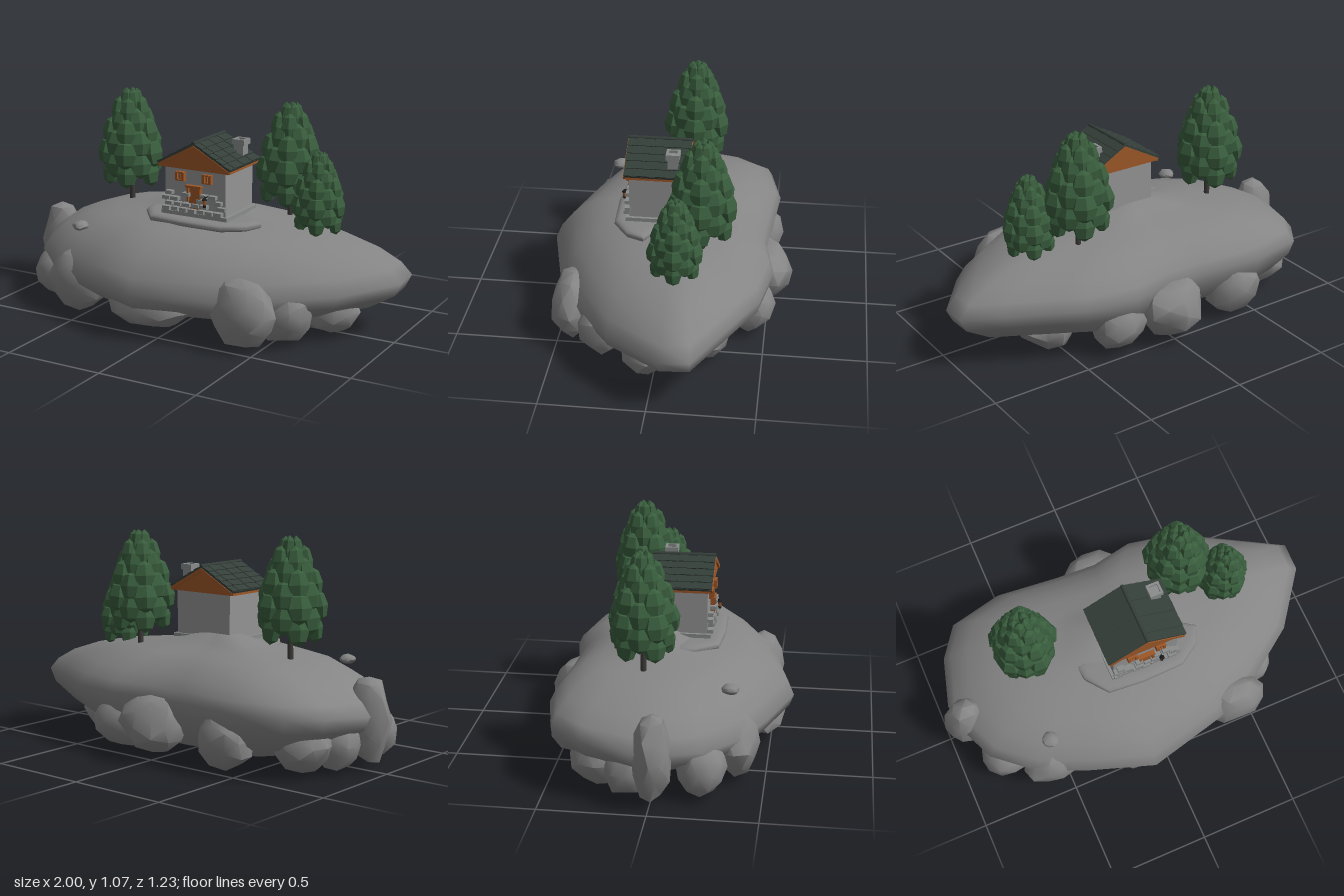
import * as THREE from 'three';
import { mergeVertices, toCreasedNormals, mergeGeometries } from 'three/addons/utils/BufferGeometryUtils.js';

export function createModel() {
  const root = new THREE.Group();
  root.name = 'cottageIsland';
  const mat = (name, color, flatShading = false) => {
    const m = new THREE.MeshStandardMaterial({ color, flatShading });
    m.name = name;
    return m;
  };
  const stone = mat('rock grey', 0x858585);
  const plaster = mat('wall grey', 0x949494);
  const masonry = mat('masonry grey', 0x8a8c8c);
  const tile = mat('roof slate', 0x353f3a);
  const wood = mat('orange wood', 0x9c5728);
  const foliage = mat('leaf green', 0x395d3d, true);
  const bark = mat('dark bark', 0x3c3a38);
  const iron = mat('black iron', 0x1c1c1e);

  const add = (parent, name, geo, material, x = 0, y = 0, z = 0) => {
    const m = new THREE.Mesh(geo, material);
    m.name = name;
    m.position.set(x, y, z);
    parent.add(m);
    return m;
  };
  const box = (parent, name, material, w, h, d, x, y, z) =>
    add(parent, name, new THREE.BoxGeometry(w, h, d), material, x, y, z);
  let seed = 7;
  const rnd = () => (seed = (seed * 16807) % 2147483647) / 2147483647;

  // Island body: the outline is scaled through rings from an off-centre crown to rim to base
  const outline = [
    [1, -0.2], [1, -0.06], [0.8, 0.21], [0.56, 0.38], [0.3, 0.51], [-0.1, 0.607], [-0.42, 0.5],
    [-0.66, 0.4], [-0.85, 0.24], [-0.92, 0.08], [-0.95, -0.08], [-0.88, -0.32], [-0.77, -0.47],
    [-0.5, -0.53], [-0.18, -0.5], [0.03, -0.49], [0.24, -0.53], [0.5, -0.48], [0.62, -0.41], [0.82, -0.3]];
  const rings = [
    [0, 0.575], [0.12, 0.565], [0.25, 0.532], [0.38, 0.508], [0.54, 0.488], [0.7, 0.455], [0.85, 0.393],
    [0.95, 0.32], [1, 0.25], [0.97, 0.19], [0.85, 0.125], [0.6, 0.06], [0.3, 0.012], [0, 0.003]];
  const pos = [], idx = [], n = outline.length;
  rings.forEach(([t, y], r) => outline.forEach(([x, z], j) => {
    const rimLift = (0.02 - 0.07 * z) * t ** 8;
    pos.push(x * t - 0.07 * (1 - t), y + rimLift, z * t - 0.05 * (1 - t));
    if (r === rings.length - 1) return;
    const a = r * n + j, b = r * n + (j + 1) % n;
    idx.push(a, b, a + n, b, b + n, a + n);
  }));
  const island = new THREE.BufferGeometry();
  island.setAttribute('position', new THREE.Float32BufferAttribute(pos, 3));
  island.setIndex(idx);
  island.computeVertexNormals();
  add(root, 'islandBody', island, stone);

  // Irregular boulders around the underside of the rim
  const boulder = (name, x, y, z, rx, ry, rz) => {
    let g = new THREE.IcosahedronGeometry(1, 1);
    g.deleteAttribute('normal');
    g.deleteAttribute('uv');
    g = mergeVertices(g, 1e-3);
    const p = g.attributes.position;
    for (let i = 0; i < p.count; i++) {
      const k = 0.82 + 0.18 * rnd();
      p.setXYZ(i, p.getX(i) * k * rx, p.getY(i) * k * ry, p.getZ(i) * k * rz);
    }
    add(root, name, toCreasedNormals(g, 0.75), stone, x, y, z);
  };
  [
    [-0.89, 0.24, 0.01, 0.12, 0.23, 0.1], [-0.76, 0.15, 0.22, 0.15, 0.15, 0.13],
    [-0.55, 0.18, 0.36, 0.17, 0.18, 0.13], [-0.08, 0.14, 0.46, 0.24, 0.11, 0.11],
    [0.41, 0.18, 0.42, 0.18, 0.18, 0.13], [0.55, 0.15, 0.26, 0.16, 0.15, 0.14],
    [0.66, 0.13, 0.02, 0.18, 0.13, 0.15], [0.53, 0.13, -0.2, 0.17, 0.14, 0.15],
    [0.27, 0.15, -0.42, 0.15, 0.15, 0.13], [0.01, 0.18, -0.48, 0.19, 0.16, 0.145],
    [-0.4, 0.16, -0.43, 0.16, 0.16, 0.13], [-0.71, 0.15, -0.26, 0.15, 0.15, 0.15],
    [-0.81, 0.14, -0.12, 0.12, 0.14, 0.12],
  ].forEach((b) => boulder('rimBoulder', ...b));
  [[-0.55, 0.44, 0.33, 0.042, 0.027, 0.045], [0.27, 0.03, 0.02, 0.04, 0.03, 0.04],
    [-0.35, 0.04, -0.1, 0.035, 0.03, 0.035], [0.2, 0.04, -0.27, 0.04, 0.03, 0.04]]
    .forEach((b) => boulder('looseStone', ...b));

  // Worn stone terrace in front of the house
  const terraceShape = new THREE.Shape([
    [-0.28, -0.07], [-0.27, -0.13], [-0.19, -0.23], [-0.02, -0.245], [0.19, -0.238],
    [0.29, -0.17], [0.32, -0.1], [0.22, -0.03], [-0.2, -0.03]].map(([x, y]) => new THREE.Vector2(x, y)));
  const terrace = new THREE.ExtrudeGeometry(terraceShape, {
    depth: 0.008, bevelEnabled: true, bevelSize: 0.04, bevelOffset: -0.025, bevelThickness: 0.018, bevelSegments: 3 });
  terrace.rotateX(-Math.PI / 2);
  add(root, 'terrace', toCreasedNormals(terrace, 0.9), stone, 0, 0.502, 0);

  // House body and plinth
  const house = new THREE.Group();
  house.name = 'house';
  root.add(house);
  const cx = 0.022;
  box(house, 'walls', plaster, 0.335, 0.27, 0.27, cx, 0.64, 0.045);
  box(house, 'plinth', masonry, 0.365, 0.03, 0.3, cx, 0.532, 0.047);

  // Wooden gable prism under the roof
  const gable = new THREE.ExtrudeGeometry(new THREE.Shape([
    new THREE.Vector2(-0.195, 0), new THREE.Vector2(0.195, 0),
    new THREE.Vector2(0.195, 0.012), new THREE.Vector2(0, 0.122), new THREE.Vector2(-0.195, 0.012)]),
  { depth: 0.295, bevelEnabled: false });
  add(house, 'gable', gable, wood, cx, 0.762, -0.1);

  // Roof: one slab per side, staggered tiles, bargeboards and a ridge cap
  const slope = Math.atan2(0.11, 0.2), length = 0.225;
  for (const s of [-1, 1]) {
    const side = new THREE.Group();
    side.name = s < 0 ? 'roofRight' : 'roofLeft';
    side.position.set(cx, 0.886, 0.047);
    side.rotation.z = -s * slope;
    house.add(side);
    box(side, 'roofSlab', tile, length, 0.01, 0.308, s * length / 2, 0, 0);
    const tiles = [];
    for (let r = 0; r < 5; r++) {
      for (let c = 0; c < 7; c++) {
        const g = new THREE.BoxGeometry(0.05, 0.006, 0.043);
        g.rotateZ(s * 0.1);
        g.translate(s * (0.025 + r * 0.0438), 0.007 + (c % 2) * 0.002, (c - 3) * 0.0443);
        tiles.push(g);
      }
    }
    add(side, 'roofTiles', mergeGeometries(tiles), tile);
    for (const z of [-0.153, 0.153])
      box(side, 'bargeboard', wood, length, 0.016, 0.01, s * length / 2, -0.009, z);
    box(side, 'eavesBoard', wood, 0.012, 0.014, 0.3, s * (length - 0.006), -0.011, 0);
  }
  const ridge = add(house, 'ridgeCap', new THREE.CylinderGeometry(0.01, 0.01, 0.31, 6), tile, cx, 0.893, 0.047);
  ridge.rotation.x = Math.PI / 2;

  // Chimney with a stepped, hollow cap
  const chimney = new THREE.Group();
  chimney.name = 'chimney';
  chimney.position.set(0.158, 0, -0.03);
  house.add(chimney);
  box(chimney, 'stack', masonry, 0.05, 0.1, 0.05, 0, 0.82, 0);
  box(chimney, 'collar', masonry, 0.066, 0.014, 0.066, 0, 0.869, 0);
  for (const s of [-1, 1]) {
    box(chimney, 'capSide', masonry, 0.012, 0.016, 0.066, s * 0.027, 0.882, 0);
    box(chimney, 'capEnd', masonry, 0.042, 0.016, 0.012, 0, 0.882, s * 0.027);
  }

  // Shuttered windows with frames
  for (const x of [-0.053, 0.095]) {
    box(house, 'window', wood, 0.034, 0.034, 0.012, x, 0.724, 0.184);
    for (const s of [-1, 1]) {
      box(house, 'shutter', wood, 0.013, 0.042, 0.026, x + s * 0.018, 0.724, 0.191);
      box(house, 'windowRail', wood, 0.05, 0.007, 0.022, x, 0.724 + s * 0.019, 0.189);
    }
    box(house, 'windowBar', wood, 0.004, 0.034, 0.018, x, 0.724, 0.187);
  }

  // Door with frame
  box(house, 'door', wood, 0.06, 0.125, 0.012, cx, 0.612, 0.184);
  for (const s of [-1, 1]) box(house, 'doorPost', wood, 0.01, 0.07, 0.024, cx + s * 0.032, 0.643, 0.19);
  box(house, 'doorLintel', wood, 0.084, 0.011, 0.026, cx, 0.68, 0.191);

  // Rough, gappy stones in front of the wall, reaching across the foot of the door
  for (let r = 0; r < 4; r++) {
    for (let c = 0; c < 7; c++) {
      const x = -0.13 + c * 0.048 + (r % 2) * 0.016;
      if ((r > 1 && Math.abs(x - cx) < 0.035) || rnd() < 0.2) continue;
      box(house, 'facingStone', masonry, 0.032 + 0.012 * rnd(), 0.018, 0.028, x, 0.56 + r * 0.026, 0.189 + 0.008 * rnd());
    }
  }

  // Lantern on a bracket
  const lantern = new THREE.Group();
  lantern.name = 'lantern';
  lantern.position.set(0.094, 0.615, 0.217);
  house.add(lantern);
  add(lantern, 'lanternGlass', new THREE.CylinderGeometry(0.009, 0.007, 0.026, 6), wood);
  add(lantern, 'lanternRoof', new THREE.CylinderGeometry(0.004, 0.014, 0.012, 6), iron, 0, 0.018, 0);
  add(lantern, 'lanternBase', new THREE.CylinderGeometry(0.009, 0.006, 0.012, 6), iron, 0, -0.018, 0);
  box(lantern, 'lanternBracket', iron, 0.005, 0.005, 0.035, 0, 0.024, -0.017);

  // Trees: five-sided, with rings of faceted leaves alternating between corners and sides
  const leafRings = [
    [0.083, 0.108], [0.133, 0.126], [0.185, 0.126], [0.238, 0.122],
    [0.29, 0.105], [0.342, 0.09], [0.392, 0.068], [0.435, 0.042]];
  const tree = (name, x, y, z, size, trunkBase) => {
    const g = new THREE.Group();
    g.name = name;
    g.position.set(x, y, z);
    root.add(g);
    const core = new THREE.CylinderGeometry(0.05, 0.1, 0.36, 5, 1, false, Math.PI / 2).toNonIndexed();
    core.translate(0, 0.245, 0);
    const leaves = [core];
    leafRings.forEach(([h, r], k) => {
      const w = 0.023 + r * 0.33, onSide = k % 2;
      for (let i = 0; i < 5; i++) {
        const leaf = new THREE.SphereGeometry(1, 6, 4).toNonIndexed();
        leaf.scale(w * 0.75, 0.076, w);
        leaf.rotateZ(0.14);
        leaf.translate(r * (onSide ? 0.86 : 1), h, 0);
        leaf.rotateY((i + onSide / 2) * Math.PI * 0.4);
        leaves.push(leaf);
      }
    });
    add(g, 'foliage', mergeGeometries(leaves), foliage).scale.setScalar(size);
    const len = y + 0.12 - trunkBase;
    add(g, 'trunk', new THREE.CylinderGeometry(0.011, 0.015, len, 8), bark, 0, trunkBase - y + len / 2, 0);
  };
  tree('rightTree', -0.505, 0.562, -0.08, 1, 0.45);
  tree('leftTree', 0.35, 0.55, -0.19, 1, 0.45);
  tree('smallTree', 0.555, 0.455, -0.085, 0.79, 0.4);
  return root;
}
